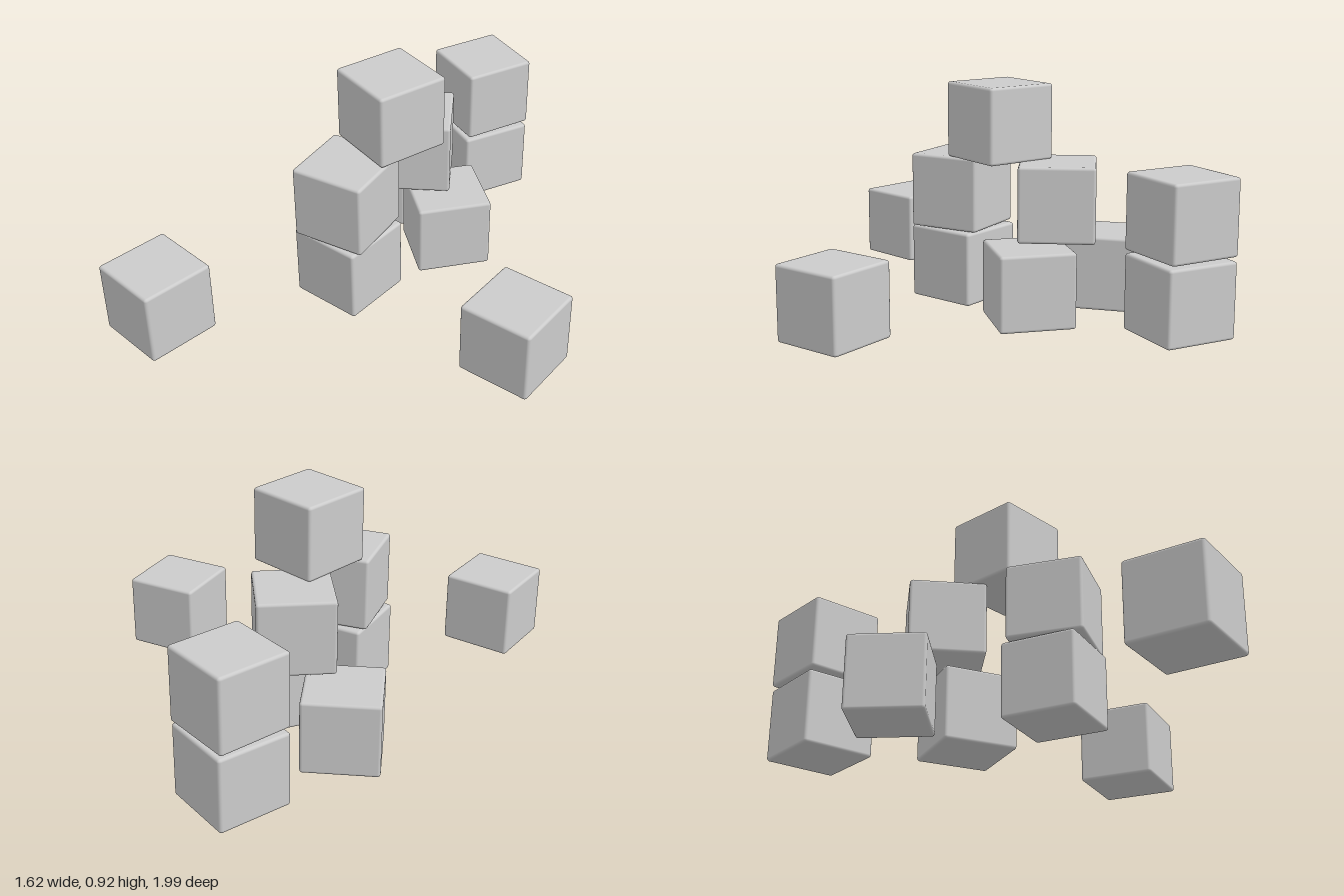
import * as THREE from 'three';
import { RoundedBoxGeometry } from 'three/addons/geometries/RoundedBoxGeometry.js';

const SIZE = 0.303;   // edge length of every block
const BEVEL = 0.012;  // softened edge radius

// name, centre x, base height, centre z, turn about y in degrees
const BLOCKS = [
  // loose blocks on the floor
  ['looseFrontBlock', -0.631, 0, 0.817, -12.6],
  ['looseSideBlock', 0.645, 0, 0.27, -5.1],
  // bottom layer of the pile
  ['pileFrontBlock', -0.146, 0, 0.209, -7],
  ['pileLeftBlock', 0.051, 0, -0.225, 45],
  ['pileRightBlock', -0.365, 0, -0.361, 16.5],
  // second layer of the pile
  ['upperFrontBlock', -0.144, 0.307, 0.213, 2],
  ['upperBackBlock', -0.119, 0.313, -0.255, 27.5],
  // top of the pile
  ['topBlock', -0.08, 0.612, -0.009, -22.4],
  // stack of two behind the pile
  ['rearLowerBlock', -0.105, 0, -0.792, -31],
  ['rearUpperBlock', -0.104, 0.317, -0.793, -28.5],
];

export function createModel() {
  const group = new THREE.Group();
  group.name = 'blockPile';
  const geometry = new RoundedBoxGeometry(SIZE, SIZE, SIZE, 2, BEVEL);
  const material = new THREE.MeshStandardMaterial({ color: 0xcccccc });

  for (const [name, x, base, z, turn] of BLOCKS) {
    const block = new THREE.Mesh(geometry, material);
    block.name = name;
    block.position.set(x, base + SIZE / 2, z);
    block.rotation.y = THREE.MathUtils.degToRad(turn);
    group.add(block);
  }
  return group;
}
